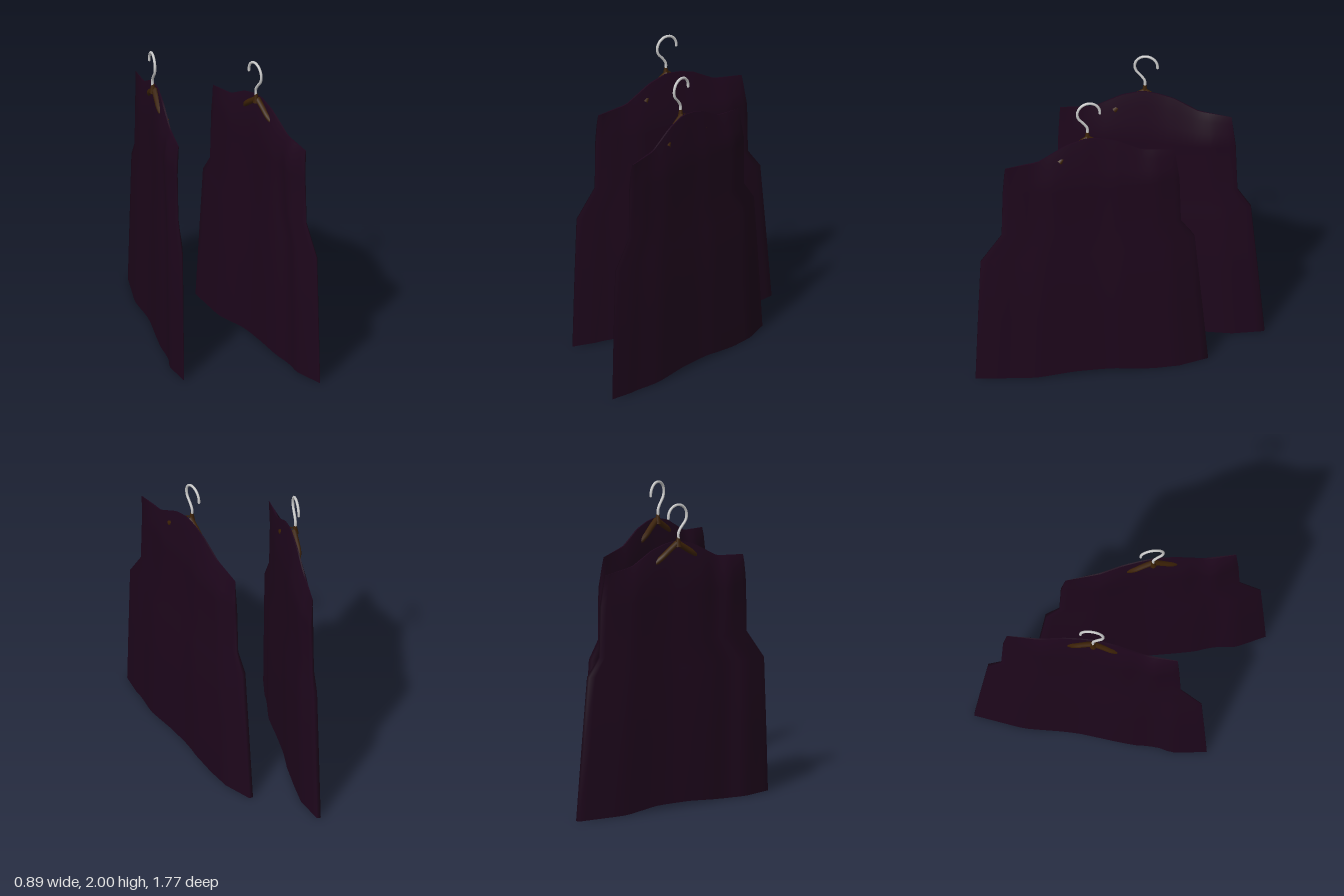
import * as THREE from 'three';

const fabric = new THREE.MeshStandardMaterial({ color: 0x1d061b, side: THREE.DoubleSide });
fabric.name = 'dark purple fabric';
const wood = new THREE.MeshStandardMaterial({ color: 0x3a2005 });
wood.name = 'brown wood';
const metal = new THREE.MeshStandardMaterial({ color: 0xc8c8c8 });
metal.name = 'grey metal';

const lerp = THREE.MathUtils.lerp;

// Piecewise linear lookup in a list of [position, value, ...] points
function sample(points, t, k = 1) {
  if (t <= points[0][0]) return points[0][k];
  for (let i = 1; i < points.length; i++) {
    const a = points[i - 1], b = points[i];
    if (t <= b[0]) return lerp(a[k], b[k], (t - a[0]) / (b[0] - a[0]));
  }
  return points[points.length - 1][k];
}

// Cloth thickness across the width: [position, inner x, outer x]
const folds = [
  [-1, 0.006, 0.03], [-0.735, -0.025, 0.081], [-0.576, -0.044, 0.081],
  [-0.265, -0.036, 0.081], [-0.086, -0.034, 0.066], [0.18, -0.054, 0.061],
  [0.38, -0.06, 0.058], [0.47, -0.05, 0.055], [0.576, -0.044, 0.04],
  [0.71, -0.074, 0.02], [0.8, -0.06, 0.016], [1, -0.024, -0.014],
];

// Shoulder line and hem line: [z, y]
const shoulders = [
  [-0.54, 1.595], [-0.325, 1.625], [-0.165, 1.71], [-0.065, 1.737],
  [0.01, 1.747], [0.047, 1.747], [0.172, 1.71], [0.36, 1.605], [0.57, 1.585],
];
const hemLine = [[-0.38, 0.004], [-0.15, 0.03], [0.12, 0.03], [0.42, 0.005]];

// Side edges from the hem up: [z0, y0, z1, y1, inner thickness, outer thickness]
const edges = [
  [-0.753, 0, 0.76, 0, 0.78, 1.03],
  [-0.71, 0.47, 0.744, 0.45, 0.88, 1.04],
  [-0.665, 0.94, 0.726, 0.89, 0.92, 1.02],
  [-0.578, 1.06, 0.59, 1.08, 0.62, 0.6],
  [-0.567, 1.39, 0.582, 1.39, 0.86, 0.82],
];
// Upper rows between chest and shoulder line: [fraction, inner, outer thickness]
const upper = [[0.4, 0.77, 0.54], [0.75, 0.55, 0.3], [1, 0.15, 0.04]];

const COLS = 30;

// One row of cloth points: outer panel, then the inner panel back again
function clothRow(r) {
  const outer = [], inner = [];
  const chest = edges[edges.length - 1];
  for (let i = 0; i <= COLS; i++) {
    const s = (i / COLS) * 2 - 1, f = i / COLS;
    let y, z, kIn, kOut;
    if (r < edges.length) {
      const e = edges[r];
      z = lerp(e[0], e[2], f);
      y = r === 0 ? sample(hemLine, z) : lerp(e[1], e[3], f);
      [kIn, kOut] = e.slice(4);
    } else {
      const [t, thickIn, thickOut] = upper[r - edges.length];
      z = lerp(lerp(chest[0], chest[2], f), lerp(-0.54, 0.57, f), t);
      y = lerp(1.39, sample(shoulders, z), t);
      kIn = thickIn;
      kOut = thickOut;
    }
    outer.push([sample(folds, s, 2) * kOut, y, z]);
    inner.unshift([sample(folds, s, 1) * kIn, y, z]);
  }
  return outer.concat(inner);
}

function surface(points, index) {
  const g = new THREE.BufferGeometry();
  g.setAttribute('position', new THREE.Float32BufferAttribute(points.flat(), 3));
  g.setIndex(index);
  g.computeVertexNormals();
  return g;
}

function addMesh(group, name, geometry, material) {
  const m = new THREE.Mesh(geometry, material);
  m.name = name;
  group.add(m);
  return m;
}

// Strip of faces between the two panels of one row, facing down or up
function closingStrip(row, up) {
  const index = [], last = row.length - 1;
  for (let p = 0; p < COLS; p++) {
    const q = last - p;
    if (up) index.push(p, q, p + 1, p + 1, q, q - 1);
    else index.push(p, p + 1, q, p + 1, q - 1, q);
  }
  return surface(row, index);
}

function createGarment() {
  const g = new THREE.Group();

  // Sleeveless body, two panels joined at both sides
  const rows = edges.length + upper.length, n = 2 * (COLS + 1);
  const points = [], index = [];
  for (let r = 0; r < rows; r++) points.push(...clothRow(r));
  for (let r = 0; r < rows - 1; r++) {
    for (let i = 0; i < n; i++) {
      const j = (i + 1) % n;
      const a = r * n + i, b = r * n + j, c = a + n, d = b + n;
      index.push(a, c, b, b, c, d);
    }
  }
  addMesh(g, 'garmentBody', surface(points, index), fabric);

  // Underside of the hem and the seam along the shoulders
  addMesh(g, 'hem', closingStrip(points.slice(0, n), false), fabric);
  addMesh(g, 'shoulderSeam', closingStrip(points.slice(-n), true), fabric);

  // Hanger: two sloping wooden arms, a collar and a wire hook
  const hanger = new THREE.Group();
  hanger.name = 'hanger';
  hanger.position.set(-0.034, 0, 0.025);
  for (const side of [-1, 1]) {
    const arm = new THREE.CatmullRomCurve3([
      new THREE.Vector3(0.012, 1.738, 0),
      new THREE.Vector3(0.012, 1.7, side * 0.06),
      new THREE.Vector3(0.014, 1.655, side * 0.125),
      new THREE.Vector3(0.046, 1.595, side * 0.195),
    ]);
    addMesh(hanger, side > 0 ? 'leftArm' : 'rightArm', new THREE.TubeGeometry(arm, 12, 0.019, 8), wood);
  }
  const collar = addMesh(hanger, 'collar', new THREE.CylinderGeometry(0.01, 0.022, 0.06, 10), wood);
  collar.position.set(0.002, 1.745, 0);

  const path = [[0, 1.76], [0, 1.805], [0.012, 1.828]];
  for (let i = 0; i <= 12; i++) {
    const a = -0.9 + (i / 12) * (Math.PI + 1);
    path.push([-0.008 + 0.074 * Math.cos(a), 1.917 + 0.074 * Math.sin(a)]);
  }
  const wire = new THREE.CatmullRomCurve3(path.map(([z, y]) => new THREE.Vector3(0, y, z)));
  addMesh(hanger, 'hook', new THREE.TubeGeometry(wire, 48, 0.009, 8), metal);
  const tip = addMesh(hanger, 'hookTip', new THREE.SphereGeometry(0.009, 8, 6), metal);
  tip.position.copy(wire.getPoint(1));
  g.add(hanger);
  return g;
}

export function createModel() {
  const model = new THREE.Group();
  model.name = 'hangingGarments';

  const right = createGarment();
  right.name = 'rightGarment';
  right.position.set(-0.376, 0, -0.135);

  const left = createGarment();
  left.name = 'leftGarment';
  left.position.set(0.222, 0, 0.155);
  left.rotation.y = 0.316;

  model.add(right, left);
  return model;
}
